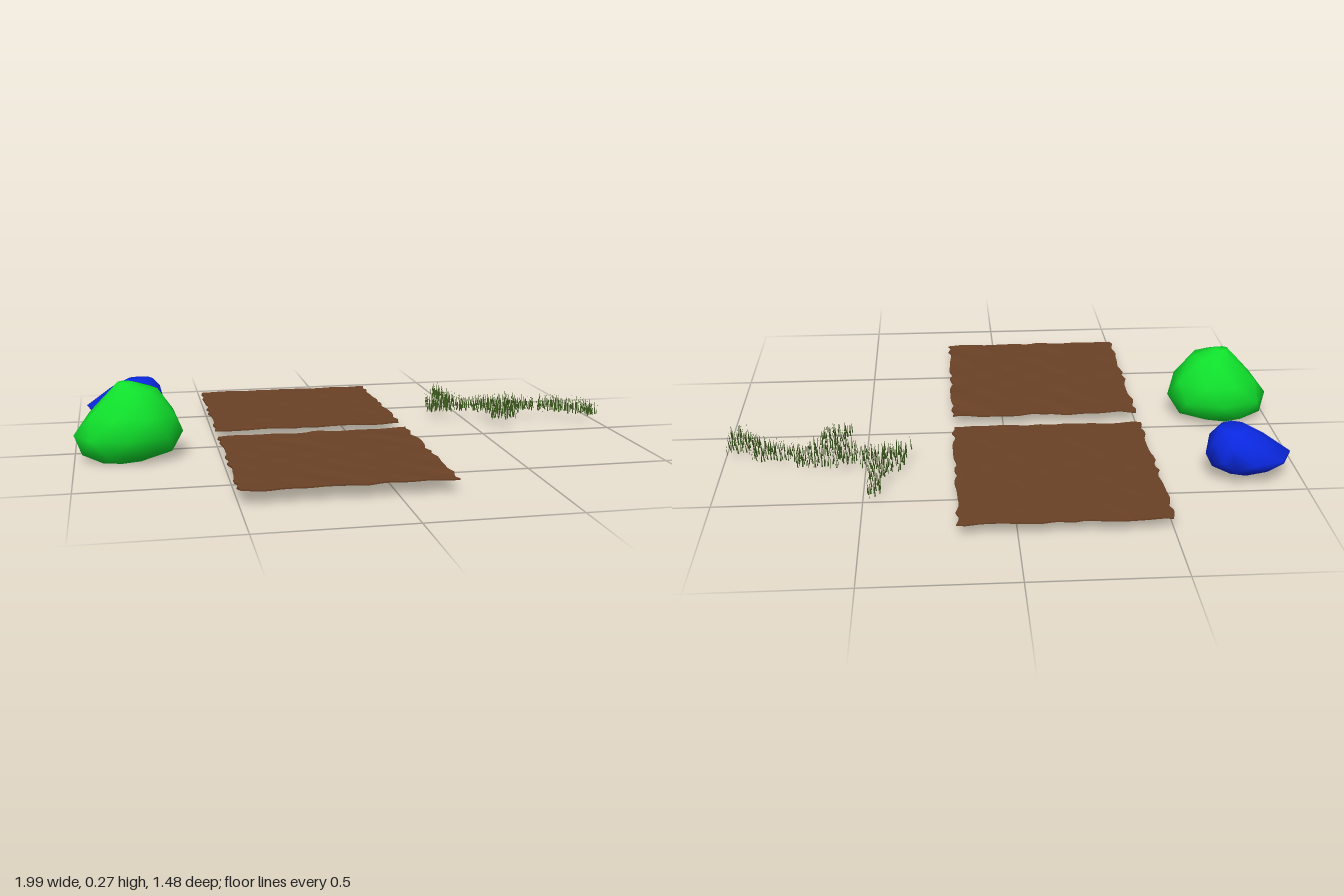
import * as THREE from 'three';
import { ConvexGeometry } from 'three/addons/geometries/ConvexGeometry.js';
import { mergeVertices } from 'three/addons/utils/BufferGeometryUtils.js';

function seeded(seed) {
  let s = seed;
  return () => (s = (s * 16807) % 2147483647) / 2147483647;
}

function part(name, geometry, color, side = THREE.FrontSide) {
  const mesh = new THREE.Mesh(geometry, new THREE.MeshStandardMaterial({ color, side }));
  mesh.name = name;
  return mesh;
}

// Rounded low-poly stone: hull of elliptical rings [y, cx, cz, rx, rz], smooth normals
function rock(rings, sides) {
  const points = [];
  rings.forEach(([y, cx, cz, rx, rz], k) => {
    for (let i = 0; i < sides; i++) {
      const a = ((i + (k % 2) * 0.5) / sides) * Math.PI * 2;
      points.push(new THREE.Vector3(cx + rx * Math.cos(a), y, cz + rz * Math.sin(a)));
    }
  });
  let g = new ConvexGeometry(points);
  g.deleteAttribute('normal');
  g = mergeVertices(g, 1e-4);
  g.computeVertexNormals();
  return g;
}

// Thin square of soil with gentle bumps and ragged edges
function soil(cx, cz, size, bump, phase) {
  const g = new THREE.BoxGeometry(size, 0.005, size, 28, 1, 28);
  const p = g.attributes.position;
  const half = size / 2;
  for (let i = 0; i < p.count; i++) {
    const x = p.getX(i), y = p.getY(i), z = p.getZ(i);
    const wave = Math.sin(x * 23 + phase + 2 * Math.sin(z * 13)) * Math.cos(z * 19 - phase)
      + 0.6 * Math.sin(x * 41 - z * 33 + phase);
    const edgeX = Math.abs(x) > half - 1e-4 ? 0.006 * Math.sin(z * 47 + phase + 2 * Math.sin(z * 21)) : 0;
    const edgeZ = Math.abs(z) > half - 1e-4 ? 0.004 * Math.sin(x * 39 - phase + 2 * Math.sin(x * 17)) : 0;
    p.setXYZ(i, cx + x + edgeX, 0.046 + y + bump * wave, cz + z + edgeZ);
  }
  g.computeVertexNormals();
  return g;
}

// Slender upright blades scattered inside a branching outline
function grass() {
  const rand = seeded(77);
  const outline = [
    [0.43, -0.53], [0.49, -0.56], [0.48, -0.38], [0.53, -0.3], [0.6, -0.33], [0.73, -0.32],
    [0.75, -0.27], [0.88, -0.27], [0.92, -0.2], [1, -0.2], [1, -0.05], [0.93, -0.06],
    [0.86, -0.14], [0.72, -0.2], [0.69, -0.14], [0.65, -0.05], [0.55, -0.05], [0.58, -0.15],
    [0.52, -0.21], [0.33, -0.21], [0.37, -0.35], [0.44, -0.42],
  ];
  const inside = (x, z) => {
    let hit = false;
    outline.forEach(([ax, az], i) => {
      const [bx, bz] = outline[(i + 1) % outline.length];
      if (az > z !== bz > z && x < ax + ((z - az) / (bz - az)) * (bx - ax)) hit = !hit;
    });
    return hit;
  };
  const pos = [];
  const step = 0.0155;
  for (let gx = 0.32; gx < 1; gx += step) {
    for (let gz = -0.57; gz < -0.04; gz += step) {
      const x = gx + (rand() - 0.5) * step, z = gz + (rand() - 0.5) * step;
      const a = rand() * Math.PI, h = 0.038 + rand() * 0.018;
      const lean = (rand() - 0.5) * 0.012, y = 0.035 + rand() * 0.01 - (x - 0.66) * 0.012;
      if (!inside(x, z)) continue;
      const dx = 0.0028 * Math.cos(a), dz = 0.0028 * Math.sin(a);
      pos.push(x - dx, y, z - dz, x + dx, y, z + dz, x + lean, y + h, z - 0.006 + lean / 2);
    }
  }
  const g = new THREE.BufferGeometry();
  g.setAttribute('position', new THREE.Float32BufferAttribute(pos, 3));
  g.computeVertexNormals();
  return g;
}

export function createModel() {
  const group = new THREE.Group();
  group.name = 'gardenPieces';

  group.add(part('greenRock', rock([
    [0, -0.84, 0.1, 0.09, 0.07],
    [0.03, -0.82, 0.096, 0.165, 0.115],
    [0.09, -0.813, 0.097, 0.187, 0.138],
    [0.16, -0.8, 0.097, 0.155, 0.132],
    [0.245, -0.79, 0.1, 0.08, 0.075],
    [0.272, -0.82, 0.1, 0.025, 0.02],
  ], 8), 0x10e02c));

  group.add(part('blueRock', rock([
    [0.025, -0.8, -0.38, 0.07, 0.06],
    [0.06, -0.808, -0.388, 0.135, 0.1],
    [0.09, -0.815, -0.39, 0.147, 0.108],
    [0.15, -0.775, -0.395, 0.1, 0.087],
    [0.187, -0.76, -0.385, 0.05, 0.045],
  ], 8), 0x0a28e0));

  group.add(part('backSoilPatch', soil(-0.155, -0.395, 0.688, 0.0011, 0.4), 0x6b4226));
  group.add(part('frontSoilPatch', soil(-0.155, 0.385, 0.688, 0.0026, 2.1), 0x6b4226));
  group.add(part('grassBlades', grass(), 0x3d5a1e, THREE.DoubleSide));
  return group;
}
